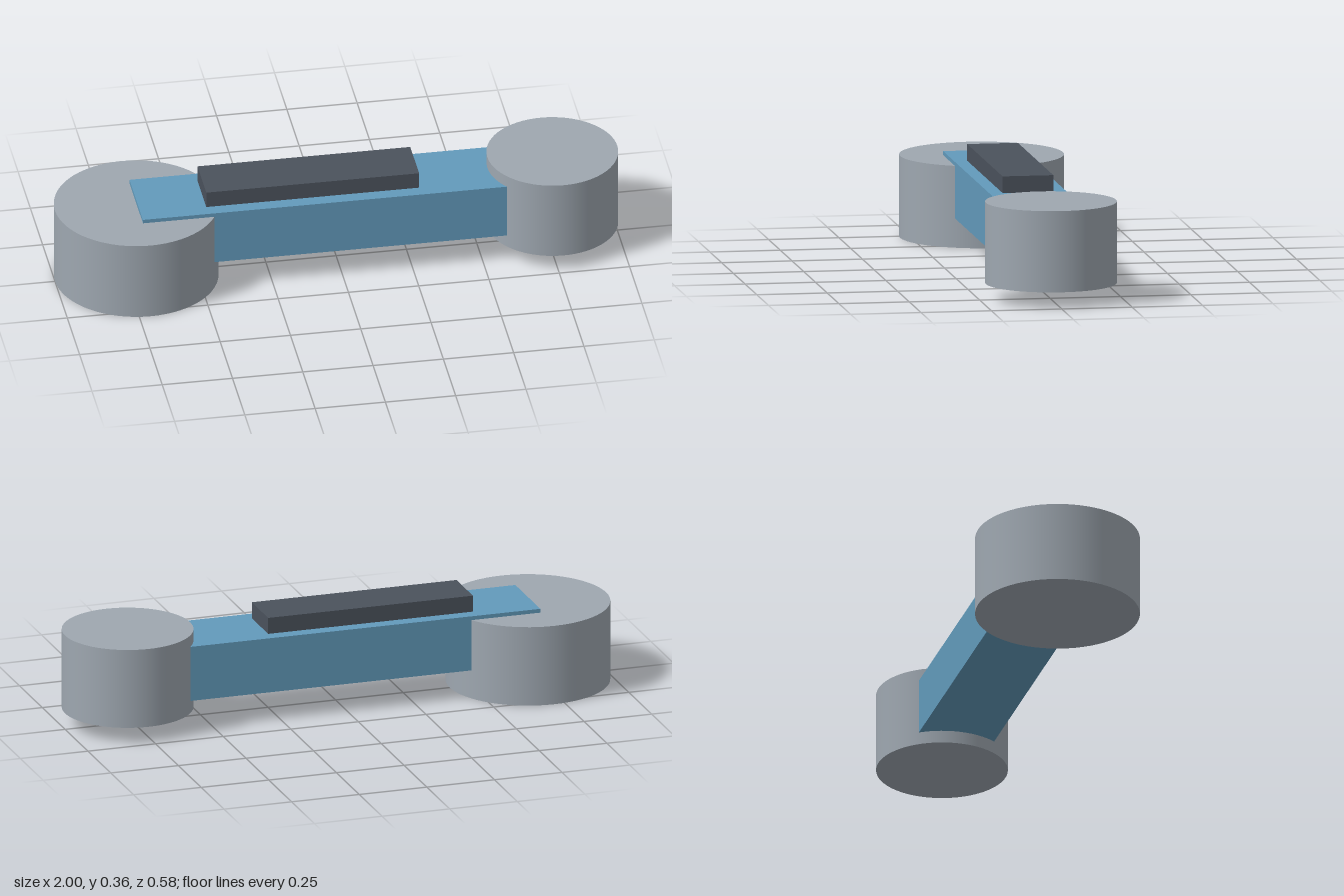
import * as THREE from 'three';

export function createModel() {
  const model = new THREE.Group();
  model.name = 'jointedArmLink';

  const material = (name, color) => {
    const m = new THREE.MeshStandardMaterial({ color });
    m.name = name;
    return m;
  };
  const grey = material('jointGrey', 0x9ea7b0);
  const blue = material('armBlue', 0x629abb);
  const dark = material('coverDark', 0x4b525c);

  const add = (name, geometry, mat, x, y) => {
    const mesh = new THREE.Mesh(geometry, mat);
    mesh.name = name;
    mesh.position.set(x, y, 0);
    model.add(mesh);
  };

  // Round joint housings at each end
  add('largeJoint', new THREE.CylinderGeometry(0.289, 0.289, 0.29, 64), grey, -0.711, 0.145);
  add('smallJoint', new THREE.CylinderGeometry(0.231, 0.231, 0.288, 64), grey, 0.769, 0.203);

  // Beam running between the joint centres
  add('armBeam', new THREE.BoxGeometry(1.48, 0.2, 0.274), blue, 0.029, 0.204);

  // Raised cover on top of the beam
  add('topCover', new THREE.BoxGeometry(0.757, 0.07, 0.18), dark, -0.099, 0.328);

  return model;
}
